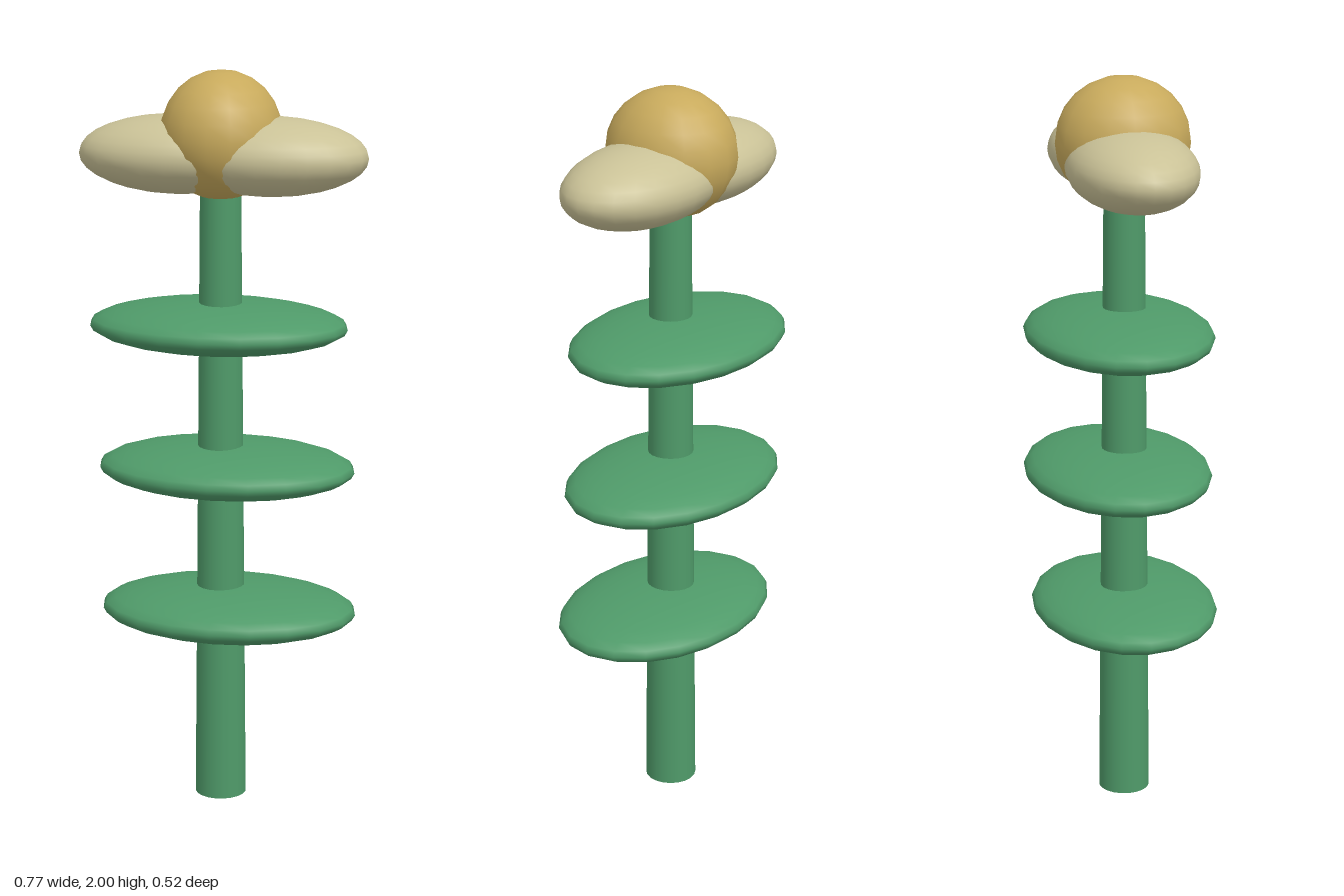
import * as THREE from 'three';

const green = new THREE.MeshStandardMaterial({ color: 0x4f9a69 });
const cream = new THREE.MeshStandardMaterial({ color: 0xcac297 });
const gold = new THREE.MeshStandardMaterial({ color: 0xc8aa5c });

// Sphere stretched to the given half sizes
function ellipsoid(name, material, half, position, segments = 20, rings = 14) {
  const geometry = new THREE.SphereGeometry(1, segments, rings);
  geometry.scale(...half);
  const mesh = new THREE.Mesh(geometry, material);
  mesh.name = name;
  mesh.position.set(...position);
  return mesh;
}

export function createModel() {
  const group = new THREE.Group();
  group.name = 'flower';

  // Tapered stem, ending inside the flower head
  const stem = new THREE.Mesh(new THREE.CylinderGeometry(0.054, 0.07, 1.75, 20), green);
  stem.name = 'stem';
  stem.position.set(-0.005, 0.875, 0.008);
  group.add(stem);

  // Three flat oval leaves, each slightly off the stem axis
  const leafCentres = [[0.018, 0.538, 0.012], [0.008, 0.93, -0.008], [-0.015, 1.32, -0.009]];
  leafCentres.forEach((centre, i) => {
    group.add(ellipsoid(`leaf${i + 1}`, green, [0.35, 0.067, 0.25], centre));
  });

  // Two broad petals spreading left and right, pointed at their outer ends
  for (const side of [-1, 1]) {
    const name = side > 0 ? 'leftPetal' : 'rightPetal';
    const petal = ellipsoid(name, cream, [0.267, 0.104, 0.169], [side * 0.12, 1.778, 0.004], 24, 16);
    group.add(petal);
  }

  // Round flower centre
  group.add(ellipsoid('flowerCentre', gold, [0.162, 0.17, 0.18], [-0.004, 1.83, 0.005], 16, 12));

  return group;
}
